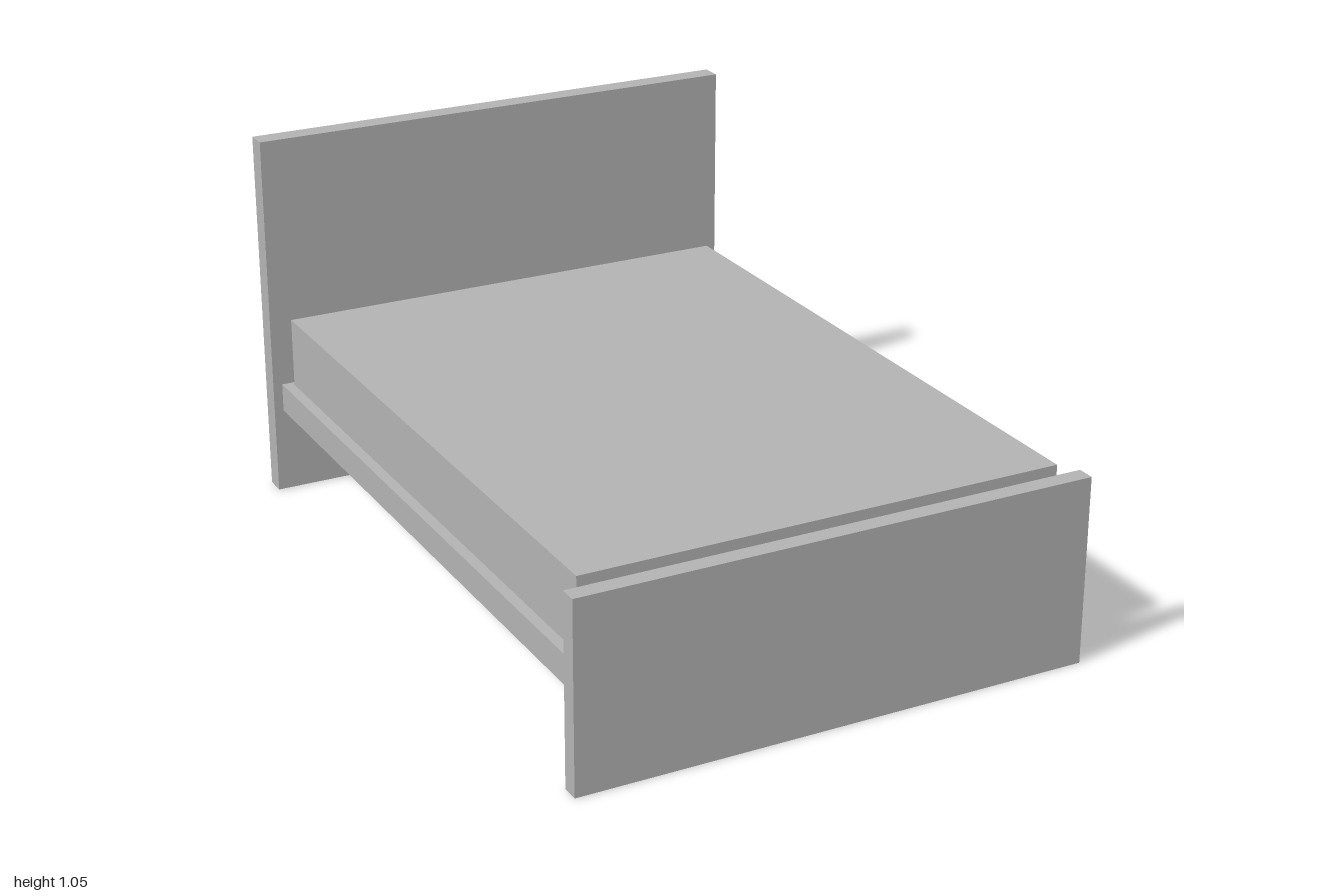
import * as THREE from 'three';

export function createModel() {
  const bed = new THREE.Group();
  bed.name = 'bed';

  const grey = new THREE.MeshStandardMaterial({ color: 0xb2b2b2 });
  grey.name = 'grey';

  // Panel centred on x, given its width and its y and z extents
  function panel(name, width, y0, y1, z0, z1) {
    const mesh = new THREE.Mesh(new THREE.BoxGeometry(width, y1 - y0, z1 - z0), grey);
    mesh.name = name;
    mesh.position.set(0, (y0 + y1) / 2, (z0 + z1) / 2);
    bed.add(mesh);
  }

  // End boards stand on the floor
  panel('headboard', 1.436, 0, 1.053, -1, -0.941);
  panel('footboard', 1.436, 0, 0.521, 0.951, 1);

  // Base and mattress sit between the boards with small gaps
  panel('bedBase', 1.392, 0.25, 0.331, -0.928, 0.931);
  panel('mattress', 1.338, 0.335, 0.533, -0.9, 0.921);

  return bed;
}
